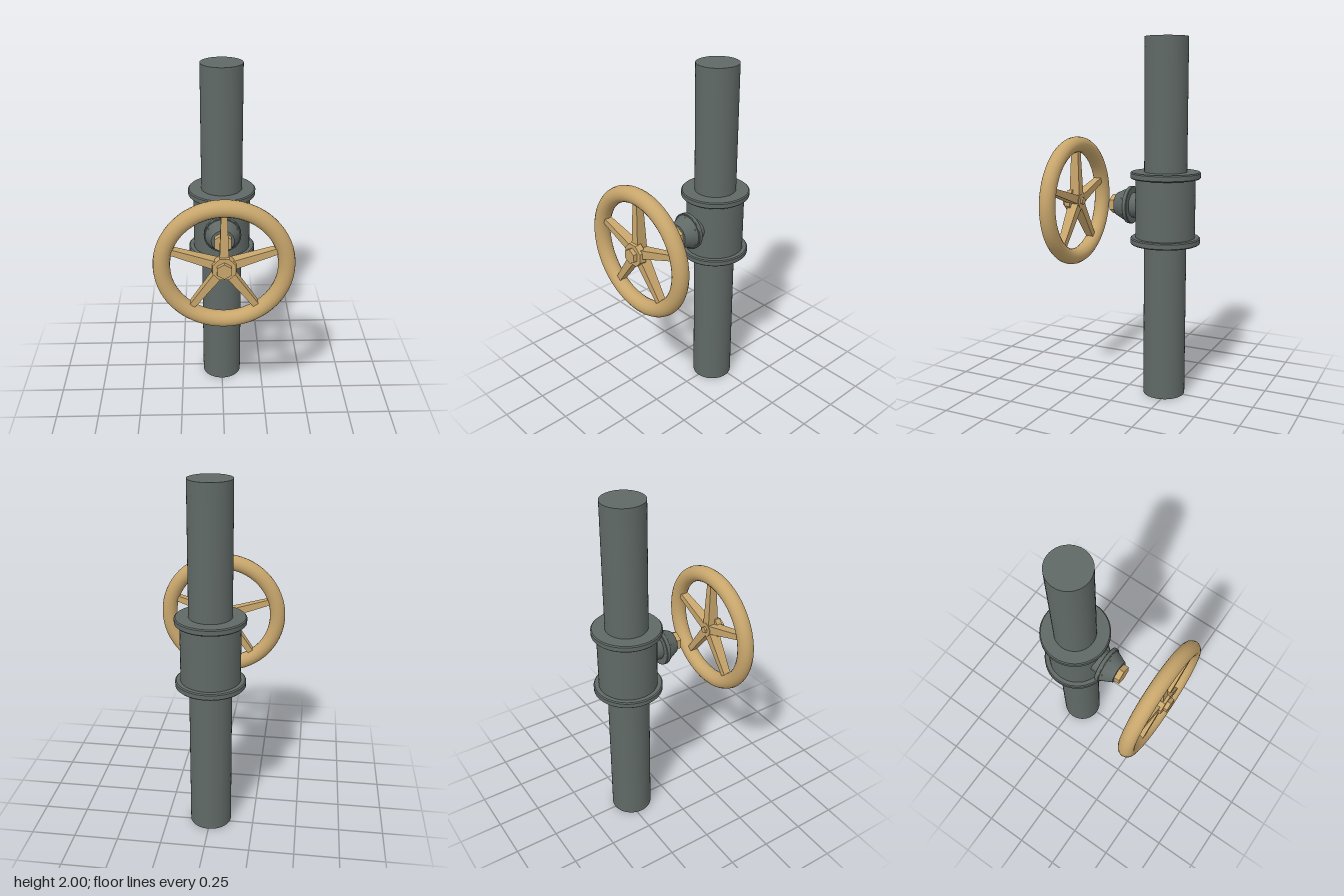
import * as THREE from 'three';
import { toCreasedNormals } from 'three/addons/utils/BufferGeometryUtils.js';

const iron = new THREE.MeshStandardMaterial({ color: 0x606966 });
iron.name = 'grey iron';
const brass = new THREE.MeshStandardMaterial({ color: 0xc8a66c });
brass.name = 'brass';

const PIPE_Z = -0.22;
const AXIS_Y = 1.078;

function add(parent, name, geometry, material, x = 0, y = 0, z = 0) {
  const mesh = new THREE.Mesh(geometry, material);
  mesh.name = name;
  mesh.position.set(x, y, z);
  parent.add(mesh);
  return mesh;
}

// Turned solid from [radius, height] pairs, listed bottom to top
function turned(profile, segments = 48) {
  const points = profile.map(([r, h]) => new THREE.Vector2(r, h));
  return toCreasedNormals(new THREE.LatheGeometry(points, segments), 0.5);
}

// Prism along z between two depths
function prism(radius, z0, z1, sides, turn = 0, frontRadius = radius) {
  const g = new THREE.CylinderGeometry(frontRadius, radius, z1 - z0, sides, 1, false, turn);
  g.rotateX(Math.PI / 2).translate(0, 0, (z0 + z1) / 2);
  return sides <= 10 ? toCreasedNormals(g, 0.3) : g;
}

export function createModel() {
  const model = new THREE.Group();
  model.name = 'valve';

  // Pipe and valve body
  add(model, 'pipe', new THREE.CylinderGeometry(0.118, 0.118, 2, 48), iron, 0, 1, PIPE_Z);
  add(model, 'body', new THREE.CylinderGeometry(0.165, 0.165, 0.36, 48), iron, 0, 1.075, PIPE_Z);
  const flange = turned([
    [0, 0], [0.188, 0], [0.194, 0.006], [0.194, 0.031], [0.188, 0.037], [0, 0.037],
  ]);
  add(model, 'lowerFlange', flange, iron, 0, 0.874, PIPE_Z);
  add(model, 'upperFlange', flange, iron, 0, 1.239, PIPE_Z);

  // Bonnet facing the front
  const bonnet = new THREE.Group();
  bonnet.name = 'bonnet';
  bonnet.position.y = AXIS_Y;
  model.add(bonnet);
  add(bonnet, 'neck', prism(0.07, -0.15, -0.02, 32), iron);
  const cap = turned([
    [0, -0.026], [0.103, -0.026], [0.106, -0.023], [0.106, -0.003],
    [0.103, 0], [0.098, 0], [0.065, 0.07], [0, 0.07],
  ], 32);
  add(bonnet, 'cap', cap.rotateX(Math.PI / 2), iron);
  add(bonnet, 'packingNut', prism(0.055, 0.06, 0.103, 6), brass);
  for (let i = 0; i < 6; i++) {
    const a = Math.PI / 2 + (i * Math.PI) / 3;
    add(bonnet, 'capBolt', prism(0.01, -0.01, 0.013, 6), brass,
      0.085 * Math.cos(a), 0.085 * Math.sin(a), 0);
  }

  // Handwheel
  const wheel = new THREE.Group();
  wheel.name = 'handwheel';
  wheel.position.set(0, AXIS_Y, 0.3425);
  model.add(wheel);
  add(wheel, 'rim', new THREE.TorusGeometry(0.328, 0.0455, 16, 64), brass);
  add(wheel, 'hub', prism(0.072, 0.01, 0.047, 8, Math.PI / 8, 0.066), brass);
  add(wheel, 'hubNut', prism(0.043, 0.04, 0.07, 6), brass);
  add(wheel, 'hubCore', prism(0.042, -0.036, 0.02, 10), brass);
  add(wheel, 'stemEnd', prism(0.02, -0.049, -0.03, 6), brass);

  // Five spokes, tapering towards the rim
  const spoke = new THREE.CylinderGeometry(0.016 * Math.SQRT2, 0.026 * Math.SQRT2, 0.31, 4);
  spoke.rotateY(Math.PI / 4).scale(1, 1, 1.3).translate(0, 0.155, 0);
  const spokeShape = toCreasedNormals(spoke, 0.3);
  for (let i = 0; i < 5; i++) {
    add(wheel, 'spoke', spokeShape, brass).rotation.z = (i * 2 * Math.PI) / 5;
  }

  return model;
}
